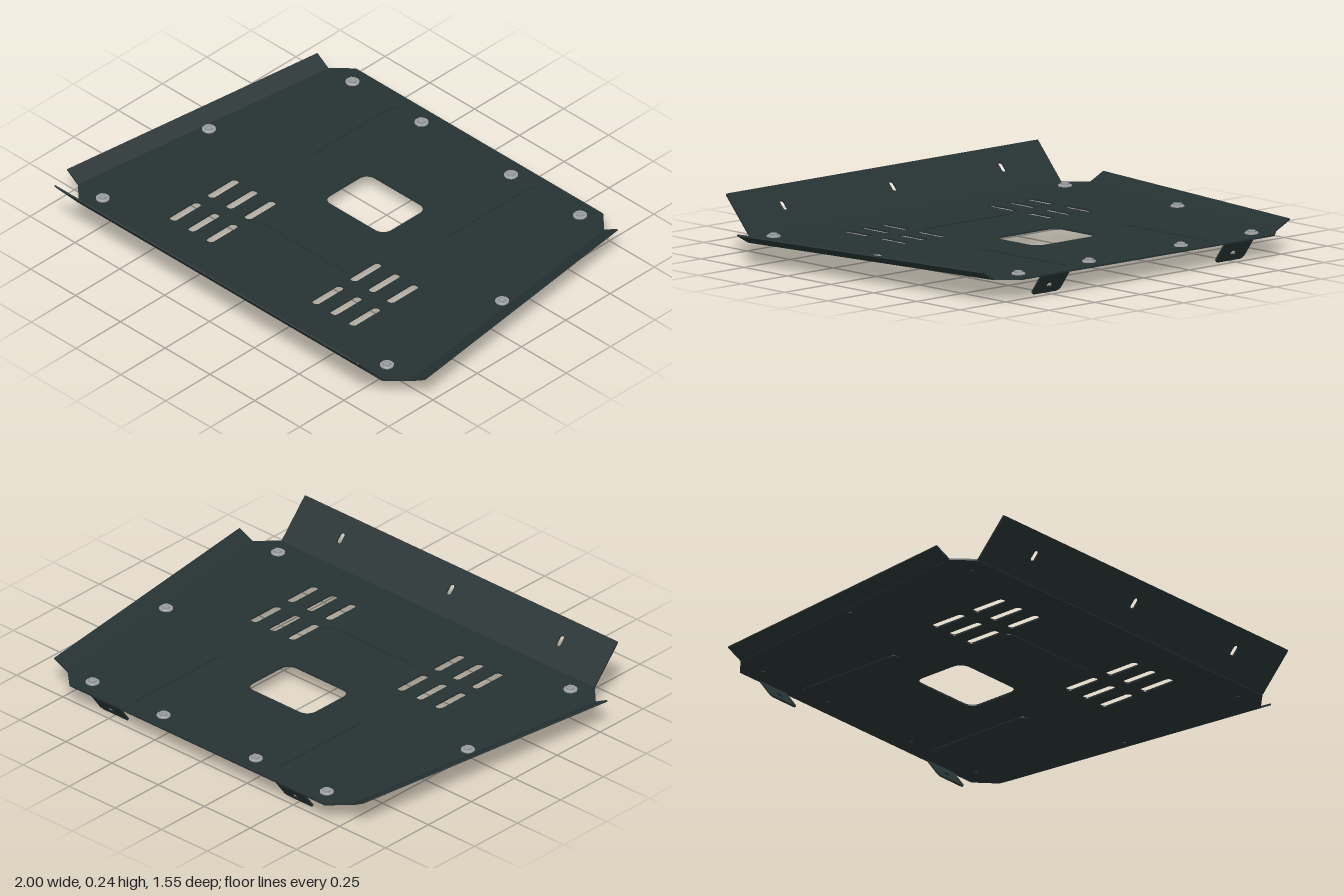
import * as THREE from 'three';

const T = 0.007;      // sheet thickness
const Y = 0.087;      // mid-height of the flat sheet
const V = (x, y, z) => new THREE.Vector3(x, y, z);

// Rounded rectangle centred on (cx, cy), used for outlines and cut-outs
function rounded(Type, cx, cy, w, h, r) {
  const p = new Type(), x = cx - w / 2, y = cy - h / 2;
  p.moveTo(x + r, y);
  p.lineTo(x + w - r, y);
  p.absarc(x + w - r, y + r, r, -Math.PI / 2, 0);
  p.lineTo(x + w, y + h - r);
  p.absarc(x + w - r, y + h - r, r, 0, Math.PI / 2);
  p.lineTo(x + r, y + h);
  p.absarc(x + r, y + h - r, r, Math.PI / 2, Math.PI);
  p.lineTo(x, y + r);
  p.absarc(x + r, y + r, r, Math.PI, Math.PI * 1.5);
  return p;
}
const hole = (...a) => rounded(THREE.Path, ...a);

// Sheet metal: a flat shape placed in the plane spanned by u and v
function sheet(name, shape, material, origin, u, v, thickness = T) {
  const geo = new THREE.ExtrudeGeometry(shape, { depth: thickness, bevelEnabled: false, curveSegments: 6 });
  geo.translate(0, 0, -thickness / 2);
  const n = u.clone().cross(v).normalize();
  geo.applyMatrix4(new THREE.Matrix4().makeBasis(u, v, n).setPosition(origin));
  geo.computeVertexNormals();
  const mesh = new THREE.Mesh(geo, material);
  mesh.name = name;
  return mesh;
}

export function createModel() {
  const group = new THREE.Group();
  group.name = 'skidPlate';
  const steel = new THREE.MeshStandardMaterial({ color: 0x263232 });
  steel.name = 'dark coated steel';
  const zinc = new THREE.MeshStandardMaterial({ color: 0x9a9e9e });
  zinc.name = 'zinc fasteners';

  // Flat plate; shape y is -z so that it extrudes upwards
  const half = [[0.69, 0.775], [0.77, 0.70], [0.93, -0.55], [0.85, -0.63]];
  const outline = [...half, ...half.map(([x, y]) => [-x, y]).reverse()];
  const plate = new THREE.Shape(outline.map(([x, y]) => new THREE.Vector2(x, y)));
  plate.holes.push(hole(0, 0.185, 0.34, 0.25, 0.045));
  for (const s of [-1, 1])
    for (const x of [0.295, 0.397, 0.5])
      for (const z of [0.165, 0.38])
        plate.holes.push(hole(s * x, -z, 0.036, 0.16, 0.017));

  // Pressed grooves: an opening in the plate closed by a lower floor
  const grooves = [[-0.385, 0.455, 0.05, 0.5], [0.385, 0.455, 0.05, 0.5], [0, -0.245, 0.51, 0.05]];
  for (const [x, y, w, h] of grooves) {
    plate.holes.push(hole(x, y, w, h, 0.024));
    group.add(sheet('grooveFloor', rounded(THREE.Shape, x, y, w + 0.004, h + 0.004, 0.026), steel,
      V(0, Y - 0.0035, 0), V(1, 0, 0), V(0, 0, -1), 0.005));
  }
  group.add(sheet('plate', plate, steel, V(0, Y, 0), V(1, 0, 0), V(0, 0, -1)));

  // Front flange, sloping up and forward, with three slots
  const rise = V(0, 0.153, 0.138), riseLength = rise.length();
  const front = rounded(THREE.Shape, 0, riseLength / 2, 1.696, riseLength, 0.004);
  for (const x of [-0.595, 0, 0.595]) front.holes.push(hole(x, riseLength * 0.54, 0.022, 0.044, 0.01));
  group.add(sheet('frontFlange', front, steel, V(0, Y, 0.63), V(1, 0, 0), rise.clone().normalize()));

  for (const s of [-1, 1]) {
    // Side flange, a slanted strip along the tapering edge
    const strip = new THREE.Shape([[0, 0], [1, 0], [1, 1], [0, 1]].map(p => new THREE.Vector2(...p)));
    group.add(sheet(s > 0 ? 'leftFlange' : 'rightFlange', strip, steel,
      V(s * 0.77, Y, -0.70), V(s * 0.16, 0, 1.25), V(s * 0.068, 0.037, -0.006)));

    // Rear mounting tab, folded down and forward
    const fall = V(0, -0.085, 0.062), length = fall.length();
    const tab = new THREE.Shape();
    tab.moveTo(-0.077, 0);
    tab.lineTo(0.077, 0);
    tab.lineTo(0.077, length - 0.02);
    tab.absarc(0.057, length - 0.02, 0.02, 0, Math.PI / 2);
    tab.lineTo(-0.057, length);
    tab.absarc(-0.057, length - 0.02, 0.02, Math.PI / 2, Math.PI);
    tab.holes.push(hole(0, length * 0.58, 0.03, 0.022, 0.01));
    group.add(sheet('rearTab', tab, steel, V(s * 0.5, Y, -0.771), V(1, 0, 0), fall.normalize()));
  }

  // Bolts: washer, hexagonal head with a socket, and a short shank end below
  const lathe = (pts, sides) => new THREE.LatheGeometry(pts.map(p => new THREE.Vector2(...p)), sides).toNonIndexed();
  const washer = lathe([[0.028, 0], [0.028, 0.005], [0.025, 0.007], [0, 0.007]], 20);
  const head = lathe([[0.018, 0.006], [0.018, 0.014], [0.01, 0.014], [0.009, 0.009], [0, 0.009]], 6);
  const shank = new THREE.CylinderGeometry(0.009, 0.009, 0.006, 10);
  for (const g of [washer, head]) g.computeVertexNormals();
  for (const s of [-1, 1])
    for (const [x, z] of [[0.25, -0.70], [0.635, -0.70], [0.818, -0.075], [0.793, 0.55]]) {
      const bolt = new THREE.Group();
      bolt.name = 'bolt';
      bolt.position.set(s * x, Y + T / 2, z);
      const end = new THREE.Mesh(shank, steel);
      end.position.y = -T;
      [new THREE.Mesh(washer, zinc), new THREE.Mesh(head, zinc), end].forEach((m, i) => {
        m.name = ['washer', 'boltHead', 'shankEnd'][i];
        bolt.add(m);
      });
      group.add(bolt);
    }
  return group;
}
